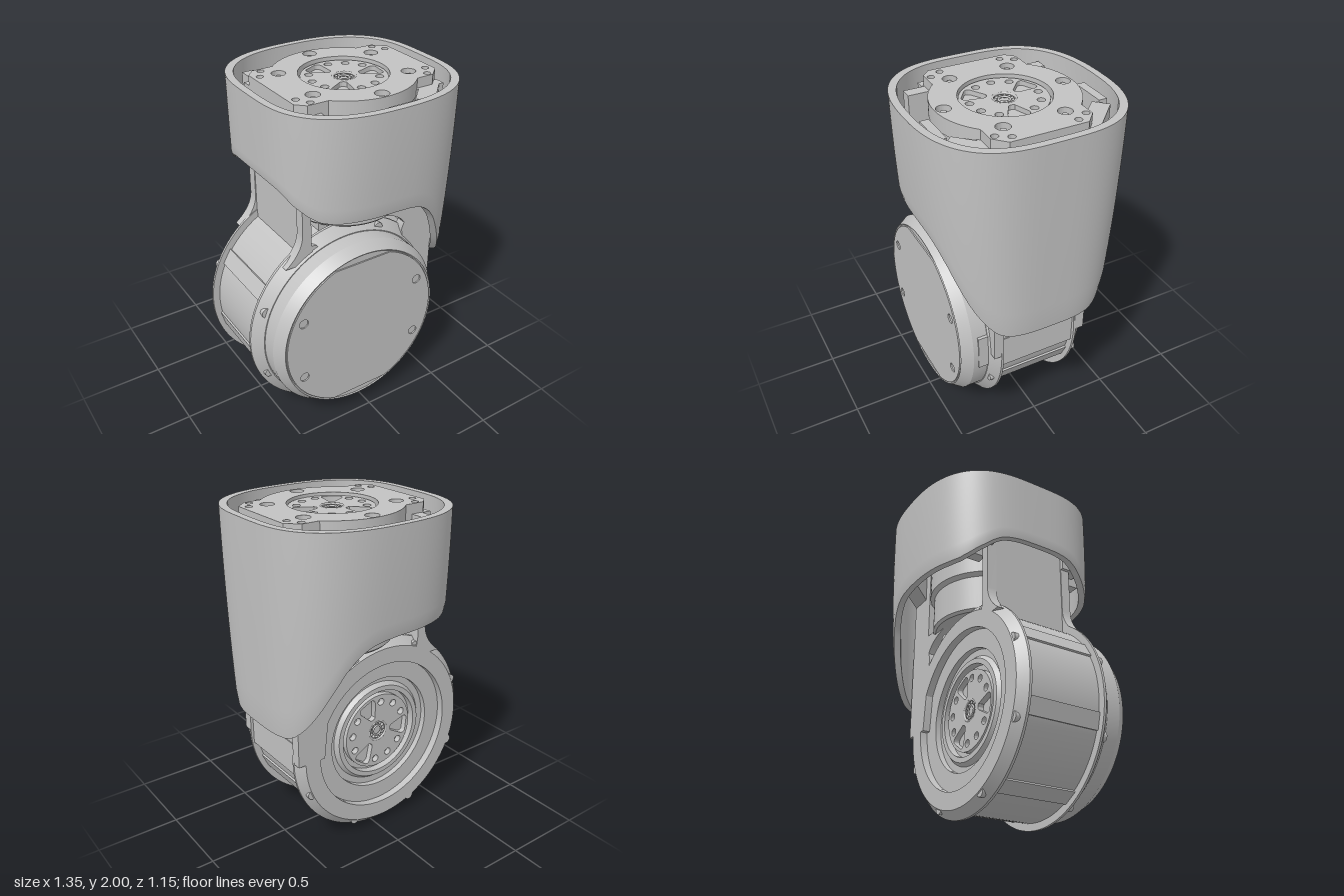
import * as THREE from 'three';
import { toCreasedNormals } from 'three/addons/utils/BufferGeometryUtils.js';

const grey = new THREE.MeshStandardMaterial({ color: 0xc2c2c2 });
grey.name = 'satin grey';

export function createModel() {
  const root = new THREE.Group();
  root.name = 'jointActuator';

  const add = (name, geo, x = 0, y = 0, z = 0, parent = root) => {
    const m = new THREE.Mesh(geo, grey);
    m.name = name;
    m.position.set(x, y, z);
    parent.add(m);
    return m;
  };
  const box = (name, x0, x1, y0, y1, z0, z1) =>
    add(name, new THREE.BoxGeometry(x1 - x0, y1 - y0, z1 - z0), (x0 + x1) / 2, (y0 + y1) / 2, (z0 + z1) / 2);
  const lathe = (pts, seg = 80) =>
    toCreasedNormals(new THREE.LatheGeometry(pts.map(p => new THREE.Vector2(...p)), seg), 0.5);
  const extrude = (shape, depth) =>
    toCreasedNormals(new THREE.ExtrudeGeometry(shape, { depth, bevelEnabled: false, curveSegments: 28 }), 0.5);
  const hole = (shape, x, y, r) => shape.holes.push(new THREE.Path().absarc(x, y, r, 0, Math.PI * 2, true));

  // Output hub facing +z: drilled disc with three pockets and a centre bearing
  function hub(name, r) {
    const g = new THREE.Group();
    g.name = name;
    const s = new THREE.Shape().absarc(0, 0, r, 0, Math.PI * 2);
    hole(s, 0, 0, r * 0.28);
    for (let k = 0; k < 3; k++) {
      const a = k * Math.PI * 2 / 3 - 0.1;
      const at = (rad, off) => [rad * r * Math.cos(a + off), rad * r * Math.sin(a + off)];
      const p = new THREE.Path();
      p.moveTo(...at(0.42, -0.18));
      p.quadraticCurveTo(...at(0.36, 0), ...at(0.42, 0.18));
      p.lineTo(...at(0.82, 0.3));
      p.quadraticCurveTo(...at(0.94, 0.28), ...at(0.93, 0.18));
      p.lineTo(...at(0.93, -0.18));
      p.quadraticCurveTo(...at(0.94, -0.28), ...at(0.82, -0.3));
      s.holes.push(p);
      for (const step of [1, 2, 3]) hole(s, ...at(0.8, step * Math.PI / 6), r * 0.093);
    }
    add(name + 'Disc', extrude(s, 0.04), 0, 0, 0, g);
    const ring = (R, t, z) => add(name + 'Bearing', new THREE.TorusGeometry(R, t, 10, 32), 0, 0, z, g);
    ring(r * 0.26, r * 0.03, 0.035);
    ring(r * 0.13, r * 0.025, 0.03);
    for (let k = 0; k < 12; k++) {
      const a = k * Math.PI / 6;
      add(name + 'Ball', new THREE.SphereGeometry(r * 0.045, 8, 6), r * 0.195 * Math.cos(a), r * 0.195 * Math.sin(a), 0.025, g);
    }
    root.add(g);
    return g;
  }

  // Lower motor housing, turned around the z axis
  const cx = -0.06, cy = 0.62;
  const housing = lathe([[0, -0.18], [0.27, -0.18], [0.27, -0.225], [0.3, -0.225], [0.32, -0.2], [0.36, -0.2],
    [0.36, -0.235], [0.47, -0.235], [0.47, -0.28], [0.57, -0.28], [0.618, -0.23], [0.618, -0.215], [0.575, -0.215],
    [0.575, 0.25], [0.618, 0.25], [0.618, 0.265], [0.56, 0.32], [0.555, 0.32], [0.555, 0.41], [0.512, 0.473],
    [0.505, 0.467], [0, 0.467]], 96);
  housing.rotateX(Math.PI / 2);
  add('motorHousing', housing, cx, cy, 0);

  // Front cover plate: disc with top and bottom flats and four screws
  const flat = Math.asin(0.465 / 0.5);
  const cover = new THREE.Shape();
  cover.absarc(0, 0, 0.5, -flat, flat);
  cover.absarc(0, 0, 0.5, Math.PI - flat, Math.PI + flat);
  for (const x of [-0.39, 0.39]) for (const y of [-0.195, 0.195]) hole(cover, x, y, 0.029);
  add('frontCover', extrude(cover, 0.01), cx, cy, 0.465);

  // Flange bolts, drum ribs and a cap clip
  for (let k = 0; k < 8; k++) {
    const a = (k + 0.5) * Math.PI / 4;
    for (const z of [-0.25, 0.282]) {
      const b = new THREE.CylinderGeometry(0.03, 0.03, 0.05, 16);
      b.rotateX(Math.PI / 2);
      add('flangeBolt', b, cx + 0.57 * Math.cos(a), cy + 0.57 * Math.sin(a), z);
    }
  }
  for (const deg of [150, 195, 240, 300, 335]) {
    const a = deg * Math.PI / 180;
    const rib = add('drumRib', new THREE.BoxGeometry(0.04, 0.1, 0.466), cx + 0.564 * Math.cos(a), cy + 0.564 * Math.sin(a), 0.017);
    rib.rotation.z = a;
  }
  box('capClip', 0.42, 0.497, 0.53, 0.75, 0.32, 0.38);
  const backHub = hub('backHub', 0.24);
  backHub.position.set(cx, cy, -0.175);
  backHub.rotation.y = Math.PI;

  // Side block and necks tying the housing to the upper actuator
  box('sideBlock', 0.36, 0.535, 0.53, 1.1, -0.215, 0.25);
  box('sidePanel', 0.53, 0.54, 0.53, 0.73, -0.21, 0.25);
  const rightNeck = new THREE.Shape();
  rightNeck.moveTo(0.38, 0.62);
  rightNeck.lineTo(0.557, 0.62);
  rightNeck.lineTo(0.557, 1.94);
  rightNeck.lineTo(0.36, 1.94);
  rightNeck.lineTo(0.36, 1.25);
  rightNeck.lineTo(0.14, 1.25);
  rightNeck.lineTo(0.14, 1.22);
  rightNeck.quadraticCurveTo(0.3, 1.2, 0.345, 1.12);
  rightNeck.lineTo(0.33, 1.08);
  const leftNeck = new THREE.Shape();
  leftNeck.moveTo(-0.35, 1.94);
  leftNeck.lineTo(-0.35, 1.26);
  leftNeck.quadraticCurveTo(-0.355, 1.16, -0.46, 1.08);
  leftNeck.lineTo(-0.28, 1.08);
  leftNeck.lineTo(-0.295, 1.2);
  leftNeck.lineTo(-0.295, 1.94);
  for (const z of [-0.28, 0.25]) {
    add('innerNeck', extrude(rightNeck, 0.06), 0, 0, z);
    add('outerNeck', extrude(leftNeck, 0.06), 0, 0, z);
  }
  box('neckWall', -0.345, -0.3, 1.1, 1.94, -0.23, 0.26);

  // Upper actuator
  const ux = 0.105, uz = 0.01;
  add('upperMotor', lathe([[0, 1.22], [0.33, 1.22], [0.345, 1.235], [0.345, 1.45], [0.37, 1.47], [0.37, 1.92], [0, 1.92]]), ux, 0, uz);
  box('motorSaddle', -0.18, 0.08, 1.15, 1.23, -0.2, 0.2);
  const outline = () => {
    const s = new THREE.Shape(), a = Math.asin(0.285 / 0.4);
    s.moveTo(0.56, -0.22);
    s.lineTo(0.56, 0.22);
    s.lineTo(0.49, 0.285);
    s.absarc(ux, 0, 0.4, a, Math.PI - a);
    s.lineTo(-0.3, 0.285);
    s.lineTo(-0.35, 0.235);
    s.lineTo(-0.35, -0.235);
    s.lineTo(-0.3, -0.285);
    s.absarc(ux, 0, 0.4, Math.PI + a, Math.PI * 2 - a);
    s.lineTo(0.49, -0.285);
    return s;
  };
  const top = outline();
  hole(top, ux, 0, 0.25);
  for (const s of [-1, 1]) {
    hole(top, ux, s * 0.35, 0.04);
    for (const m of [-1, 1]) {
      hole(top, ux + m * 0.305, s * 0.175, 0.04);
      hole(top, ux + m * 0.37, s * 0.255, 0.02);
      hole(top, ux + m * 0.412, s * 0.185, 0.02);
    }
  }
  add('topPlate', extrude(top, 0.045), 0, 1.952, uz).rotation.x = -Math.PI / 2;
  add('basePlate', extrude(outline(), 0.05), 0, 1.903, uz).rotation.x = -Math.PI / 2;
  const topHub = hub('topHub', 0.24);
  topHub.position.set(ux, 1.94, 0.015);
  topHub.rotation.x = -Math.PI / 2;
  for (const s of [-1, 1]) {
    for (const m of [-1, 1])
      add('plateBolt', new THREE.CylinderGeometry(0.018, 0.018, 0.03, 6), ux + m * 0.305, 1.965, uz + s * 0.175);
    add('plateBolt', new THREE.CylinderGeometry(0.018, 0.018, 0.03, 6), ux, 1.965, uz + s * 0.35);
    // Posts, braces and lugs holding the shell
    box('cornerPost', -0.29, -0.22, 1.5, 1.94, s * 0.34 - 0.08, s * 0.34 + 0.08);
    box('cornerSleeve', -0.37, -0.22, 1.55, 1.86, s * 0.315 - 0.065, s * 0.315 + 0.065);
    const brace = add('diagonalBrace', new THREE.BoxGeometry(0.29, 0.4, 0.1), 0.425, 1.74, s * 0.34);
    brace.rotation.y = s * Math.PI / 4;
    box('shellLug', 0.09, 0.31, 1.6, 1.95, s * 0.462 - 0.025, s * 0.462 + 0.025);
  }

  // Shell: tapered rounded-square sleeve with a swept lower edge
  const edge = [[-0.49, 1.58], [-0.465, 1.55], [-0.43, 1.49], [-0.38, 1.44], [-0.33, 1.41], [-0.26, 1.4], [0.12, 1.395],
    [0.21, 1.385], [0.28, 1.36], [0.34, 1.315], [0.4, 1.24], [0.46, 1.13], [0.53, 0.99], [0.58, 0.9], [0.615, 0.845],
    [0.64, 0.825], [0.68, 0.82]];
  const lowEdge = x => {
    let i = 0;
    while (i < edge.length - 2 && edge[i + 1][0] < x) i++;
    const [x0, y0] = edge[i], [x1, y1] = edge[i + 1];
    return y0 + (y1 - y0) * (x - x0) / (x1 - x0);
  };
  const N = 144, H = 14, M = 2 * (H + 1), pos = [], idx = [];
  const pw = v => Math.sign(v) * Math.pow(Math.abs(v), 2 / 3.4);
  for (let i = 0; i < N; i++) {
    const a = i / N * Math.PI * 2, c = pw(Math.cos(a)), s = pw(Math.sin(a)) * (1 - 0.13 * c * c);
    const y0 = lowEdge(0.0935 + 0.5735 * c);
    for (let j = 0; j < M; j++) {
      const inner = j > H, f = inner ? (M - 1 - j) / H : j / H;
      const y = y0 + (1.998 - y0) * f, t = (1.998 - y) / 1.18;
      const w = (inner ? 0.042 : 0) + (f === 0 && !inner ? 0.006 : 0);
      pos.push(0.0935 + (0.5735 * (1 - 0.02 * t * t) - w) * c, y, (0.575 * (1 - 0.12 * t * t) - w) * s);
      const k = (j + 1) % M, n = (i + 1) % N;
      idx.push(i * M + j, i * M + k, n * M + j, i * M + k, n * M + k, n * M + j);
    }
  }
  const shell = new THREE.BufferGeometry();
  shell.setAttribute('position', new THREE.Float32BufferAttribute(pos, 3));
  shell.setIndex(idx);
  add('shell', toCreasedNormals(shell, 0.7));

  return root;
}
